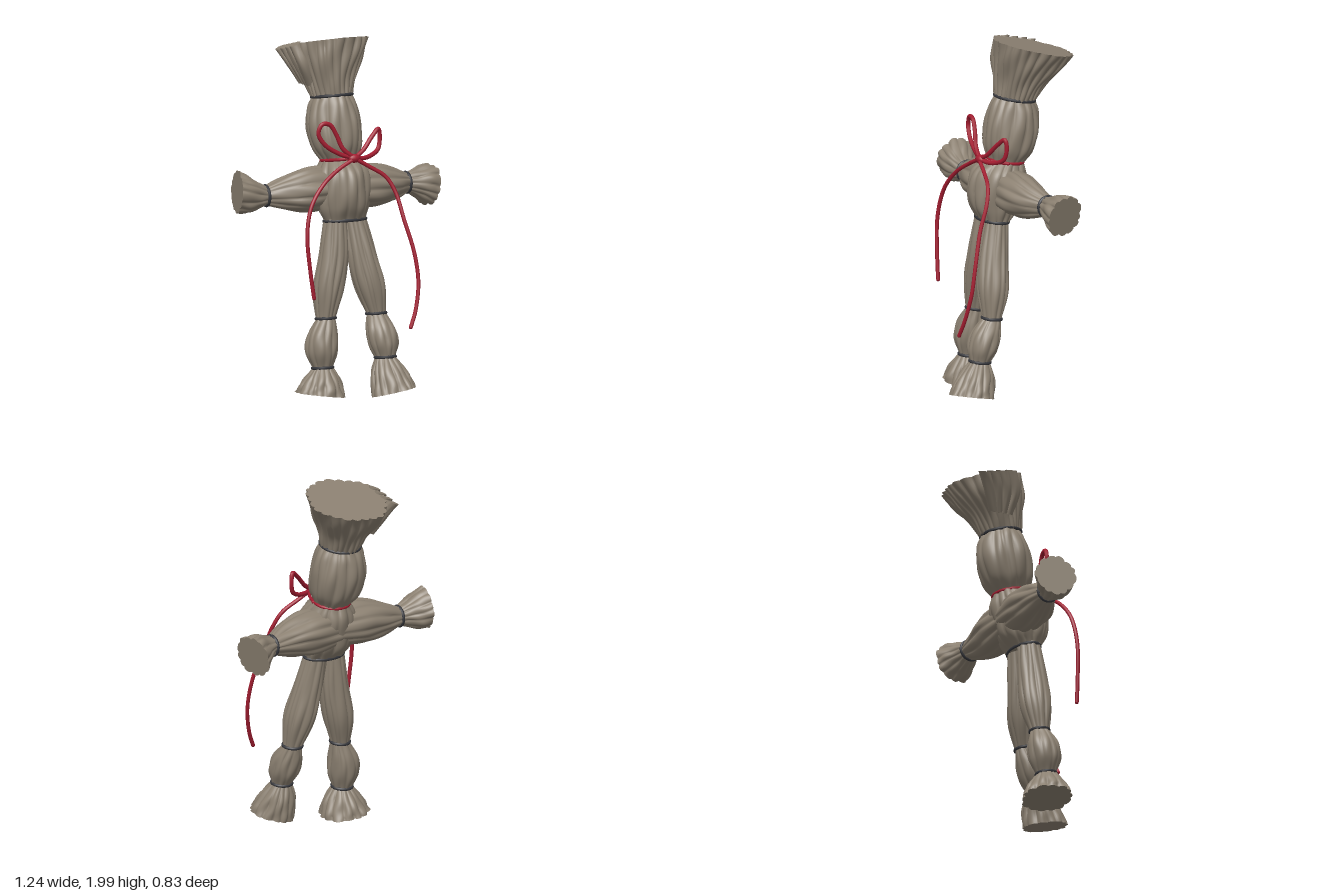
import * as THREE from 'three';

const mat = (name, color) => {
  const m = new THREE.MeshStandardMaterial({ color });
  m.name = name;
  return m;
};
const V = (a) => new THREE.Vector3(...a);

// Cross-section axes: n runs along the bundle, u and v span the section
function frame(normal) {
  const n = normal.clone().normalize();
  const u = Math.abs(n.x) > 0.7 ? V([0, 1, 0]) : V([1, 0, 0]);
  u.addScaledVector(n, -u.dot(n)).normalize();
  return { n, u, v: n.clone().cross(u) };
}

// Fluted straw bundle lofted through stations [x, y, z, radius, depth ratio]
function strawGeometry(stations, n0, n1, lobes, groove, seed) {
  const centres = new THREE.CatmullRomCurve3(stations.map((s) => V(s.slice(0, 3))), false, 'catmullrom', 0.5);
  const sizes = new THREE.CatmullRomCurve3(stations.map((s) => V([s[3], s[4] ?? 1, 0])), false, 'catmullrom', 0.5);
  const rows = (stations.length - 1) * 7;
  const sides = lobes * 8;
  const pos = [];
  const idx = [];
  for (let i = 0; i <= rows; i++) {
    const t = i / rows;
    const c = centres.getPoint(t);
    const s = sizes.getPoint(t);
    const { u, v } = frame(V(n0).lerp(V(n1), t));
    for (let j = 0; j < sides; j++) {
      const a = (j / sides) * Math.PI * 2;
      const warp = 0.1 * Math.sin(3 * a + seed) + 0.06 * Math.sin(5 * a + 3 * t + seed);
      const ridge = Math.sqrt(Math.abs(Math.sin((lobes * a) / 2 + warp * 4)));
      const swell = 0.025 * Math.sin(4 * a + 5 * t + seed) + 0.02 * Math.sin(7 * a - 9 * t + seed * 2);
      const r = s.x * (1 - groove * (1 - ridge) + swell);
      const p = c.clone().addScaledVector(u, r * Math.cos(a)).addScaledVector(v, r * s.y * Math.sin(a));
      pos.push(p.x, p.y, p.z);
    }
  }
  for (let i = 0; i < rows; i++) {
    for (let j = 0; j < sides; j++) {
      const k = (j + 1) % sides;
      const a = i * sides + j, b = i * sides + k;
      idx.push(a, b, a + sides, b, b + sides, a + sides);
    }
  }
  // Flat cut ends with their own vertices
  for (const [row, flip] of [[0, true], [rows, false]]) {
    const base = pos.length / 3;
    pos.push(...centres.getPoint(row / rows).toArray());
    for (let j = 0; j < sides; j++) {
      const o = (row * sides + j) * 3;
      pos.push(pos[o], pos[o + 1], pos[o + 2]);
    }
    for (let j = 0; j < sides; j++) {
      const a = base + 1 + j, b = base + 1 + ((j + 1) % sides);
      idx.push(base, flip ? b : a, flip ? a : b);
    }
  }
  const g = new THREE.BufferGeometry();
  g.setAttribute('position', new THREE.Float32BufferAttribute(pos, 3));
  g.setIndex(idx);
  g.computeVertexNormals();
  return g;
}

export function createModel() {
  const straw = mat('straw', 0x8c8172);
  const twine = mat('dark twine', 0x37383d);
  const red = mat('red cord', 0xa31c30);
  const doll = new THREE.Group();
  doll.name = 'strawDoll';

  const add = (name, geometry, material) => {
    const m = new THREE.Mesh(geometry, material);
    m.name = name;
    doll.add(m);
    return m;
  };
  let seed = 0;
  const bundle = (name, stations, n0, n1, lobes, groove) =>
    add(name, strawGeometry(stations, n0, n1, lobes, groove, ++seed * 1.7), straw);
  const tie = (name, c, normal, r, k = 1, material = twine) => {
    const { n, u, v } = frame(V(normal));
    const g = new THREE.TorusGeometry(r, 0.009, 8, 40);
    g.scale(1, k, 1);
    g.applyMatrix4(new THREE.Matrix4().makeBasis(u, v, n).setPosition(...c));
    add(name, g, material);
  };
  const cord = (name, points, r = 0.011) => {
    const curve = new THREE.CatmullRomCurve3(points.map(V));
    add(name, new THREE.TubeGeometry(curve, points.length * 10, r, 8), red);
    for (const p of [points[0], points[points.length - 1]]) {
      add(name + 'End', new THREE.SphereGeometry(r, 8, 6), red).position.set(...p);
    }
  };

  // Flared top tuft with a loose clump on one side
  bundle('topTuft', [[0, 1.655, -0.09, 0.115], [0, 1.75, -0.118, 0.145], [0.01, 1.85, -0.155, 0.195], [0.028, 1.945, -0.19, 0.232]],
    [0, 1, -0.18], [0, 1, -0.25], 24, 0.1);
  for (let i = 0; i < 4; i++) {
    const z = -0.3 + i * 0.055;
    bundle('looseStraw', [[-0.12, 1.73, -0.2 + i * 0.03, 0.025], [-0.175, 1.85, z + 0.04, 0.031], [-0.205, 1.915 + i * 0.014, z, 0.034]],
      [-0.4, 1, -0.1], [-0.4, 1, -0.1], 4, 0.08);
  }
  tie('topTie', [0, 1.66, -0.09], [0, 1, -0.18], 0.112);

  // Head and torso
  bundle('head', [[0.01, 1.315, -0.025, 0.1], [0.005, 1.39, -0.045, 0.142], [0, 1.5, -0.07, 0.157], [0, 1.6, -0.085, 0.14], [0, 1.665, -0.09, 0.11]],
    [0, 1, -0.16], [0, 1, -0.18], 14, 0.1);
  tie('neckTie', [0.01, 1.315, -0.025], [0, 1, -0.16], 0.1, 0.98, red);
  bundle('torso', [[0.005, 0.99, 0.055, 0.125, 0.65], [0, 1.06, 0.045, 0.15, 0.88], [0, 1.15, 0.035, 0.158, 0.97], [0.005, 1.25, 0.01, 0.145, 1.05], [0.01, 1.32, -0.025, 0.102]],
    [0, 1, -0.1], [0, 1, -0.16], 14, 0.1);
  tie('waistTie', [0.005, 0.99, 0.055], [0, 1, -0.1], 0.124, 0.65);

  // Arms and hands
  const arms = [
    { side: 'right', s: -1, y: 1.145, z: -0.033, end: [-0.6, 1.175, -0.065], n: [-1, 0.05, -0.2] },
    { side: 'left', s: 1, y: 1.148, z: -0.05, end: [0.588, 1.12, -0.078], n: [1, -0.19, -0.2] },
  ];
  for (const { side, s, y, z, end, n } of arms) {
    const wrist = [s * 0.44, y, z];
    bundle(side + 'Arm', [[0, 1.165, -0.015, 0.11], [s * 0.15, 1.162, -0.014, 0.125], [s * 0.25, 1.158, -0.015, 0.116], [s * 0.35, 1.152, -0.025, 0.089], [...wrist, 0.055]],
      [s, 0, 0], [s, 0, -0.05], 11, 0.12);
    bundle(side + 'Hand', [[...wrist, 0.054], [s * 0.49, y * 0.8 + end[1] * 0.2, z - 0.004, 0.076], [s * 0.545, (y + end[1]) / 2, (z + end[2]) / 2, 0.104], [...end, 0.118]],
      [s, 0, -0.05], n, 13, 0.12);
    tie(side + 'WristTie', wrist, [s, 0, -0.05], 0.055);
  }

  // Thighs, shins and feet
  const legs = [
    {
      side: 'right', x: -0.055, knee: [-0.128, 0.455, 0.083], ankle: [-0.16, 0.185, 0.107], n: [-0.14, -1, 0.05],
      thigh: [[-0.072, 0.8, 0.068, 0.084], [-0.104, 0.62, 0.072, 0.088]],
      shin: [[-0.155, 0.36, 0.09, 0.086], [-0.163, 0.27, 0.1, 0.088]],
      foot: [[-0.165, 0.125, 0.107, 0.102], [-0.17, 0.075, 0.107, 0.128], [-0.174, 0.035, 0.106, 0.143]],
    },
    {
      side: 'left', x: 0.06, knee: [0.155, 0.47, 0.14], ankle: [0.168, 0.237, 0.222], n: [0.15, -1, 0.2],
      thigh: [[0.09, 0.8, 0.09, 0.084], [0.125, 0.63, 0.117, 0.089]],
      shin: [[0.16, 0.39, 0.18, 0.083], [0.165, 0.31, 0.205, 0.084]],
      foot: [[0.175, 0.165, 0.245, 0.096], [0.183, 0.1, 0.268, 0.116], [0.188, 0.048, 0.285, 0.128]],
    },
  ];
  const down = [0, -1, 0.12];
  for (const { side, x, knee, ankle, n, thigh, shin, foot } of legs) {
    bundle(side + 'Thigh', [[x, 1.0, 0.055, 0.066], ...thigh, [...knee, 0.054]], down, down, 11, 0.14);
    bundle(side + 'Shin', [[...knee, 0.054], ...shin, [...ankle, 0.056]], down, down, 10, 0.12);
    bundle(side + 'Foot', [[...ankle, 0.057], ...foot], down, n, 14, 0.14);
    tie(side + 'KneeTie', knee, down, 0.053);
    tie(side + 'AnkleTie', ankle, down, 0.056);
  }

  // Cord bow with a knot, two loops and two hanging tails
  const knot = add('bowKnot', new THREE.SphereGeometry(0.026, 16, 12), red);
  knot.scale.set(1.4, 0.95, 0.9);
  knot.position.set(0.02, 1.343, 0.138);
  cord('bowLoopRight', [[0.02, 1.345, 0.14], [-0.06, 1.37, 0.125], [-0.145, 1.425, 0.11], [-0.182, 1.49, 0.1], [-0.16, 1.54, 0.103],
    [-0.115, 1.535, 0.108], [-0.08, 1.48, 0.115], [-0.045, 1.4, 0.128], [0.02, 1.345, 0.142]], 0.0125);
  cord('bowLoopLeft', [[0.02, 1.345, 0.14], [0.08, 1.38, 0.125], [0.15, 1.45, 0.1], [0.198, 1.485, 0.082], [0.21, 1.44, 0.076],
    [0.195, 1.375, 0.085], [0.14, 1.345, 0.105], [0.08, 1.337, 0.125], [0.02, 1.345, 0.142]], 0.0125);
  cord('cordTailRight', [[0.02, 1.343, 0.145], [-0.08, 1.295, 0.155], [-0.185, 1.225, 0.178], [-0.265, 1.13, 0.198], [-0.3, 1.04, 0.21],
    [-0.314, 0.92, 0.222], [-0.3, 0.75, 0.23], [-0.28, 0.6, 0.235]]);
  cord('cordTailLeft', [[0.02, 1.343, 0.145], [0.1, 1.295, 0.16], [0.19, 1.235, 0.185], [0.235, 1.15, 0.215], [0.26, 1.0, 0.272],
    [0.297, 0.82, 0.322], [0.306, 0.66, 0.352], [0.275, 0.51, 0.378], [0.238, 0.422, 0.392]]);
  // Strands joining the knot to the neck tie
  for (const s of [-1, 1]) {
    cord('neckStrand', [[0.02, 1.343, 0.135], [0.01 + s * 0.06, 1.335, 0.1], [0.01 + s * 0.1, 1.32, 0.01]], 0.009);
  }
  return doll;
}
